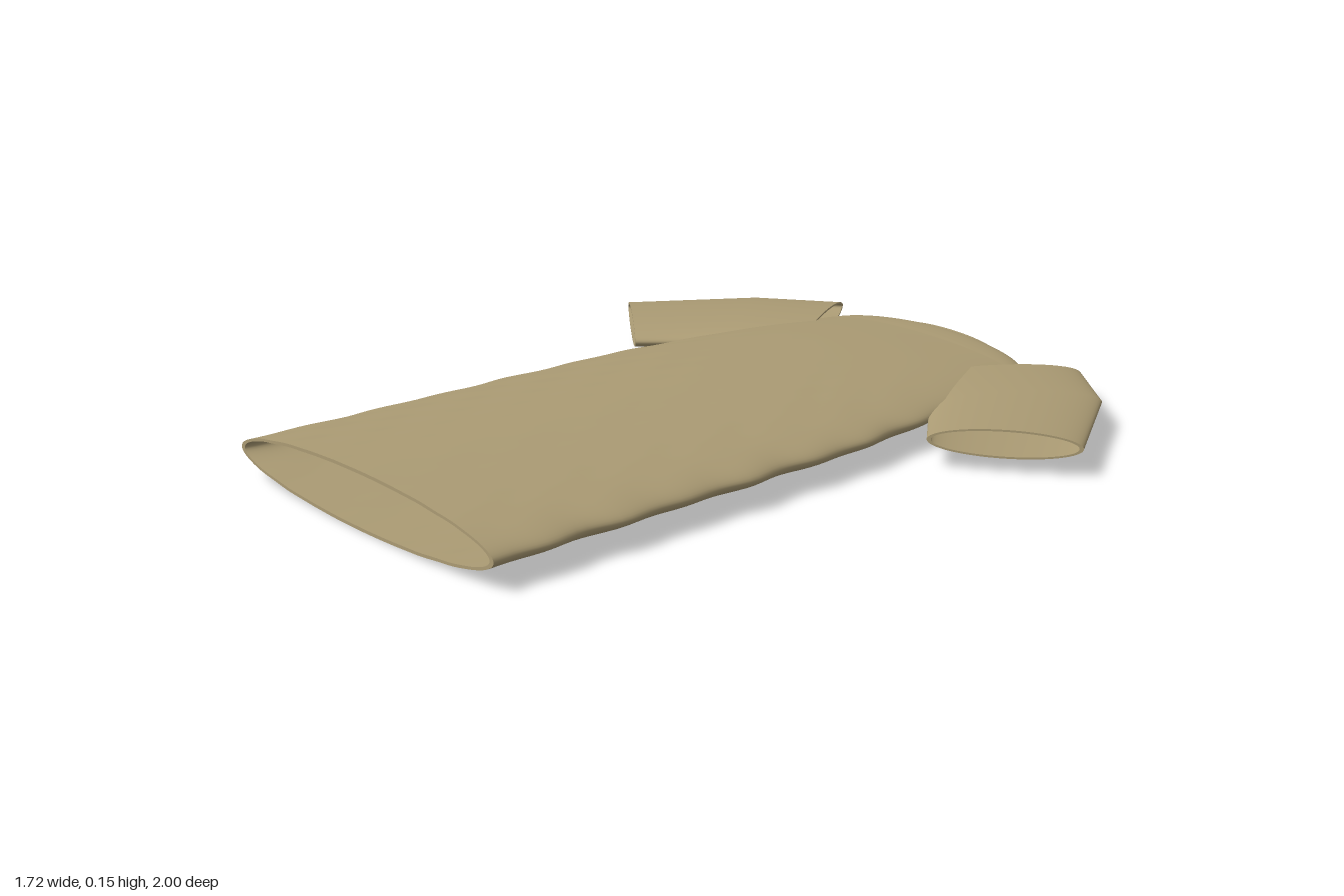
import * as THREE from 'three';

const MID = 0.08; // height of the garment's middle plane
const cloth = new THREE.MeshStandardMaterial({ color: 0xab9b74, side: THREE.DoubleSide });
cloth.name = 'khaki cloth';

// Skin a list of closed rings; each ring maps an angle to a point.
function loft(name, rings, segs = 96) {
  const pos = [], idx = [];
  rings.forEach((ring) => {
    for (let j = 0; j < segs; j++) pos.push(...ring((j / segs) * Math.PI * 2));
  });
  for (let i = 0; i < rings.length - 1; i++) {
    for (let j = 0; j < segs; j++) {
      const k = (j + 1) % segs;
      const a = i * segs + j, b = i * segs + k, c = a + segs, d = b + segs;
      idx.push(a, c, b, b, c, d);
    }
  }
  const geo = new THREE.BufferGeometry();
  geo.setAttribute('position', new THREE.Float32BufferAttribute(pos, 3));
  geo.setIndex(idx);
  geo.computeVertexNormals();
  const mesh = new THREE.Mesh(geo, cloth);
  mesh.name = name;
  return mesh;
}

// Body stations: half width, half height, z
const bodyCurve = new THREE.CatmullRomCurve3([
  [0.508, 0.075, 1], [0.5, 0.075, 0.6], [0.493, 0.075, 0.2], [0.482, 0.074, -0.15],
  [0.452, 0.07, -0.4], [0.41, 0.062, -0.64], [0.365, 0.05, -0.84],
].map((p) => new THREE.Vector3(...p)));

// Flattened oval across the body, with soft folds gathered at the sides
function bodyRing(t, inset) {
  const p = bodyCurve.getPoint(t);
  const fade = Math.min(1, Math.max(0, (p.z + 0.6) / 0.4));
  return (a) => {
    const c = Math.cos(a), s = Math.sin(a);
    const side = Math.pow(Math.abs(c), 6);
    const wave = Math.sin(p.z * 31 + 0.8) * 0.6 + Math.sin(p.z * 19 + 3 * c) * 0.4;
    const w = p.x - inset + fade * side * wave * 0.008;
    const fold = fade * 0.0016 * Math.sin(p.z * 27 + c * 5) * Math.sin(c * 24) * Math.abs(c);
    const h = p.y - inset * 0.6 + fold - 0.001;
    return [w * c, MID + h * s, p.z];
  };
}

// Plain oval ring at a given depth
const oval = (w, h, z) => (a) => [w * Math.cos(a), MID + h * Math.sin(a), z];

// Oval ring at a centre, spanned by a horizontal half axis and the height
const sleeveRing = (cx, cz, ux, uz, h) => (a) => [
  cx + ux * Math.cos(a), MID + h * Math.sin(a), cz + uz * Math.cos(a)];

// Sleeve stations: upper edge x, z and lower edge x, z
const SLEEVE = [[0.45, -1.0, 0.19, -0.56], [0.65, -0.845, 0.385, -0.48], [0.86, -0.52, 0.555, -0.29]];

function makeSleeve(side) {
  const ring = ([x0, z0, x1, z1], inset) => {
    const ux = (x1 - x0) / 2, uz = (z1 - z0) / 2;
    const k = 1 - inset / Math.hypot(ux, uz);
    return sleeveRing(side * (x0 + x1) / 2, (z0 + z1) / 2, ux * k, side * uz * k, 0.037 - inset * 0.5);
  };
  const outer = SLEEVE.map((s) => ring(s, 0));
  const inner = SLEEVE.map((s) => ring(s, 0.01)).reverse();
  const group = new THREE.Group();
  group.name = side > 0 ? 'leftSleeve' : 'rightSleeve';
  group.add(
    loft('sleeveOutside', outer, 64),
    loft('sleeveCuff', [outer[2], inner[0]], 64),
    loft('sleeveLining', inner, 64),
    loft('sleeveArmholeEdge', [inner[2], outer[0]], 64),
  );
  return group;
}

export function createModel() {
  const model = new THREE.Group();
  model.name = 'shirt';

  // Main body tube with lining and hem
  const N = 80;
  const outer = [], lining = [];
  for (let i = 0; i <= N; i++) {
    outer.push(bodyRing(i / N, 0));
    lining.push(bodyRing(1 - i / N, 0.014));
  }
  model.add(
    loft('body', outer),
    loft('bodyLining', lining),
    loft('hem', [lining[N], outer[0]]),
  );

  // Rounded shoulder yoke running from the body up to the neck
  const yoke = [], yokeLining = [];
  for (let i = 0; i <= 12; i++) {
    const a = (i / 12) * Math.PI / 2;
    const w = 0.2 + 0.16 * Math.cos(a), z = -0.84 - 0.105 * Math.sin(a);
    const h = 0.036 + 0.012 * Math.cos(a);
    yoke.push(oval(w, h, z));
    yokeLining.unshift(oval(w - 0.014, h - 0.006, z + 0.006));
  }
  model.add(
    loft('shoulderSeam', [outer[N], yoke[0]]),
    loft('shoulderYoke', yoke),
    loft('yokeLining', yokeLining),
  );

  // Neckband with a rolled edge around the opening
  model.add(loft('neckband', [
    oval(0.2, 0.036, -0.943), oval(0.203, 0.037, -0.951), oval(0.199, 0.036, -0.958),
    oval(0.19, 0.034, -0.96), oval(0.165, 0.031, -0.956), oval(0.158, 0.029, -0.948),
    oval(0.16, 0.029, -0.936), oval(0.186, 0.03, -0.937),
  ]));

  // Short sleeves
  for (const side of [1, -1]) model.add(makeSleeve(side));

  return model;
}
